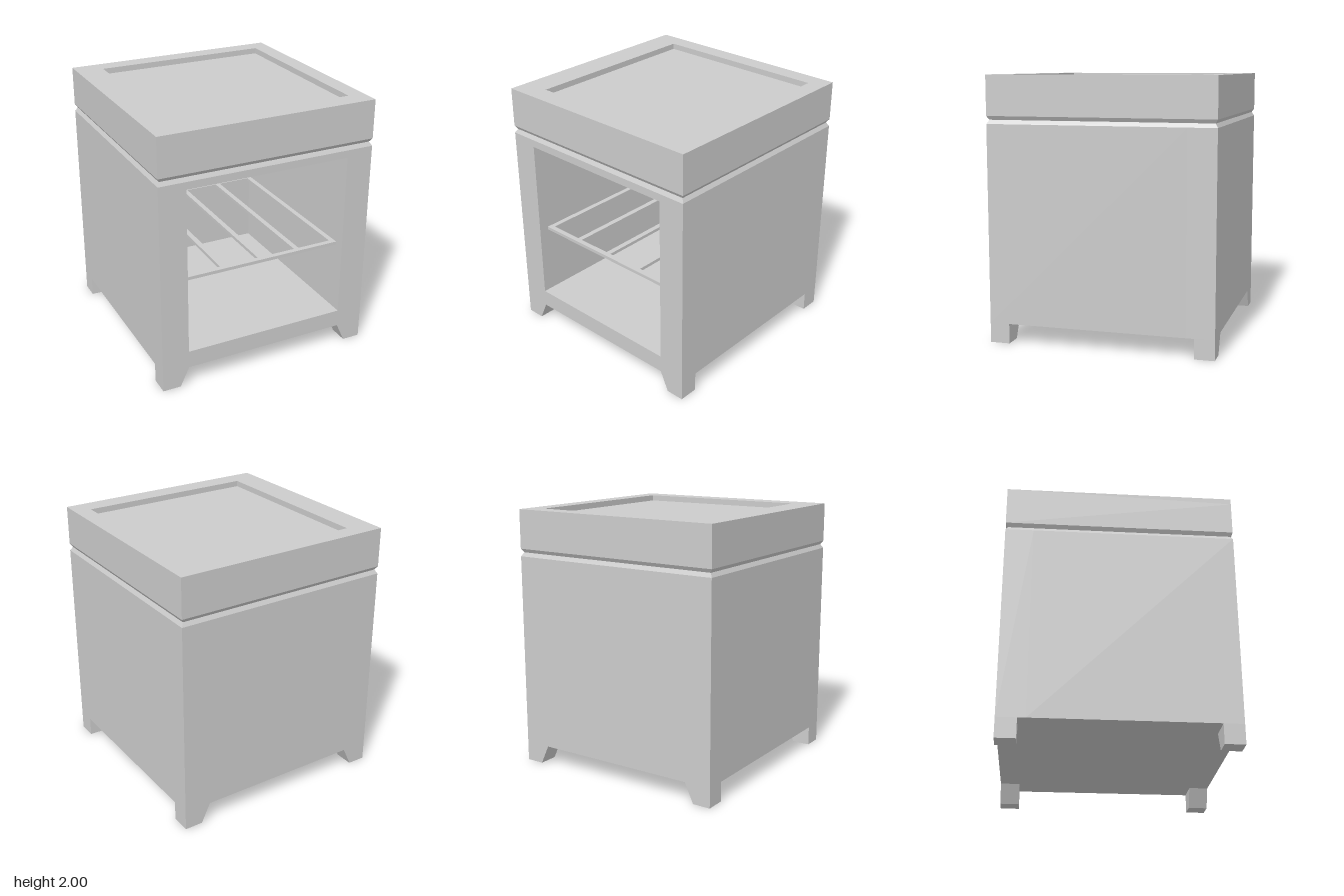
import * as THREE from 'three';

const HALF = 0.855;   // half width and depth of the cabinet
const WALL = 0.21;    // wall thickness
const material = new THREE.MeshStandardMaterial({ color: 0xcccccc, flatShading: true });

function add(parent, name, geometry, x = 0, y = 0, z = 0) {
  const mesh = new THREE.Mesh(geometry, material);
  mesh.name = name;
  mesh.position.set(x, y, z);
  parent.add(mesh);
  return mesh;
}

// Box given by its minimum and maximum corners
function addBox(parent, name, [x0, y0, z0], [x1, y1, z1]) {
  const geometry = new THREE.BoxGeometry(x1 - x0, y1 - y0, z1 - z0);
  return add(parent, name, geometry, (x0 + x1) / 2, (y0 + y1) / 2, (z0 + z1) / 2);
}

function polygon(points) {
  return new THREE.Shape(points.map(([x, y]) => new THREE.Vector2(x, y)));
}

function rectangle(x0, y0, x1, y1) {
  return polygon([[x0, y0], [x1, y0], [x1, y1], [x0, y1]]);
}

function extrude(shape, depth) {
  return new THREE.ExtrudeGeometry(shape, { depth, bevelEnabled: false });
}

// Open four-sided band that tapers between two half widths
function taperedBand(bottomHalf, topHalf, height) {
  const r = Math.SQRT2;
  return new THREE.CylinderGeometry(topHalf * r, bottomHalf * r, height, 4, 1, true).rotateY(Math.PI / 4);
}

export function createModel() {
  const model = new THREE.Group();
  model.name = 'cabinet';

  // Body: a frame open at the front, closed by a back panel
  const inner = HALF - WALL;
  const bodyBottom = 0.15, bodyTop = 1.642;
  const openBottom = 0.285, openTop = 1.585;
  const frame = rectangle(-HALF, bodyBottom, HALF, bodyTop);
  frame.holes.push(rectangle(-inner, openBottom, inner, openTop));
  add(model, 'body', extrude(frame, HALF + inner), 0, 0, -inner);
  addBox(model, 'backPanel', [-HALF, bodyBottom, -HALF], [HALF, bodyTop, -inner]);

  // V-shaped groove between body and lid
  const grooveHalf = HALF - 0.018, grooveY = 1.672, lidBottom = 1.7;
  add(model, 'grooveLower', taperedBand(HALF, grooveHalf, grooveY - bodyTop), 0, (bodyTop + grooveY) / 2, 0);
  add(model, 'grooveUpper', taperedBand(grooveHalf, HALF, lidBottom - grooveY), 0, (lidBottom + grooveY) / 2, 0);

  // Lid: slab with a raised rim around a slightly off-centre recess
  const recessY = 1.955;
  addBox(model, 'lid', [-HALF, lidBottom, -HALF], [HALF, recessY, HALF]);
  const rim = rectangle(-HALF, -HALF, HALF, HALF);
  rim.holes.push(rectangle(-0.645, -0.7, 0.725, 0.72));
  add(model, 'lidRim', extrude(rim, 2 - recessY).rotateX(-Math.PI / 2), 0, recessY, 0);

  // Feet: sloped on the inner side, mirrored to all four corners
  const footDepth = 0.15;
  for (const side of [-1, 1]) {
    const outline = polygon([
      [side * 0.715, 0], [side * HALF, 0], [side * HALF, bodyBottom], [side * inner, bodyBottom],
    ]);
    for (const z of [-HALF, HALF - footDepth]) {
      add(model, 'foot', extrude(outline, footDepth), 0, 0, z);
    }
  }

  // Rack: rectangular frame with three dividers
  const rack = new THREE.Group();
  rack.name = 'rack';
  model.add(rack);
  const rackBottom = 0.835, rackTop = 0.86, rackFront = 0.775, bar = 0.04;
  const bays = 4;
  for (let i = 0; i <= bays; i++) {
    const x = -inner + (i / bays) * (2 * inner - bar);
    addBox(rack, 'rackBar', [x, rackBottom, -inner], [x + bar, rackTop, rackFront]);
  }
  addBox(rack, 'rackFrontRail', [-inner, rackBottom, rackFront - bar], [inner, rackTop, rackFront]);
  addBox(rack, 'rackBackRail', [-inner, rackBottom, -inner], [inner, rackTop, -inner + bar]);

  return model;
}
